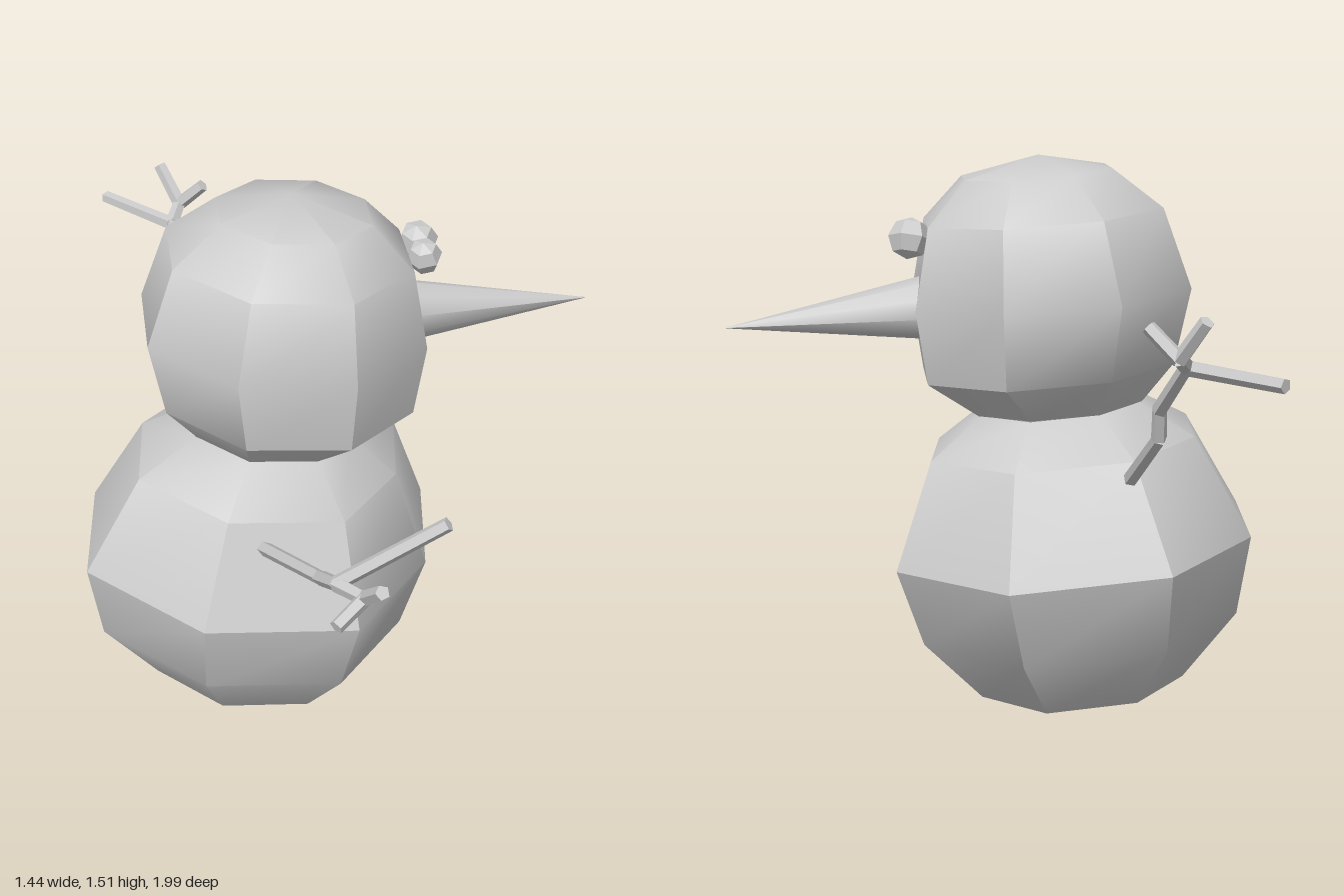
import * as THREE from 'three';
import { toCreasedNormals } from 'three/addons/utils/BufferGeometryUtils.js';

const V = (p) => new THREE.Vector3(...p);

// Eight-sided shell through slightly tilted rings [y, radius, cx, cz], open at the bottom
function ringShell(rings, outline, apex) {
  const n = outline.length, pos = [], index = [];
  for (const [y, r, cx, cz] of rings) {
    outline.forEach((m, k) => {
      const a = (15 + k * 360 / n) * Math.PI / 180;
      const x = Math.cos(a) * r * m, z = Math.sin(a) * r * m;
      pos.push(cx + x, y - 0.075 * x + 0.035 * z, cz + z);
    });
  }
  for (let i = 0; i < rings.length - 1; i++) {
    for (let k = 0; k < n; k++) {
      const a = i * n + k, b = i * n + (k + 1) % n;
      index.push(a, a + n, b, b, a + n, b + n);
    }
  }
  if (apex) {
    const base = (rings.length - 1) * n;
    pos.push(...apex);
    for (let k = 0; k < n; k++) index.push(base + k, base + n, base + (k + 1) % n);
  }
  const g = new THREE.BufferGeometry();
  g.setAttribute('position', new THREE.Float32BufferAttribute(pos, 3));
  g.setIndex(index);
  return toCreasedNormals(g, 0.6);
}

// Tapered round bar from one point to another
function bar(p, q, r0, r1, sides) {
  const a = V(p), b = V(q), d = b.clone().sub(a);
  const g = new THREE.CylinderGeometry(r1, r0, d.length(), sides);
  g.applyQuaternion(new THREE.Quaternion().setFromUnitVectors(new THREE.Vector3(0, 1, 0), d.normalize()));
  const c = a.add(b).multiplyScalar(0.5);
  return g.translate(c.x, c.y, c.z);
}

export function createModel() {
  const model = new THREE.Group();
  const snow = new THREE.MeshStandardMaterial({ color: 0xcccccc, side: THREE.DoubleSide });
  const faceted = new THREE.MeshStandardMaterial({ color: 0xcccccc, flatShading: true });
  const add = (name, geometry, material, parent = model) => {
    const mesh = new THREE.Mesh(geometry, material);
    mesh.name = name;
    parent.add(mesh);
    return mesh;
  };

  // Snowballs
  add('body', ringShell([
    [0.03, 0.32, -0.23, 0.0],
    [0.22, 0.49, -0.22, -0.01],
    [0.44, 0.55, -0.2, -0.02],
    [0.72, 0.41, -0.17, -0.01],
    [0.82, 0.245, -0.16, -0.01],
  ], [0.88, 1, 1, 1.01, 0.94, 1, 1.04, 0.98]), snow);
  add('head', ringShell([
    [0.82, 0.245, -0.16, -0.01],
    [0.925, 0.365, -0.13, -0.01],
    [1.13, 0.405, -0.135, -0.02],
    [1.35, 0.345, -0.115, -0.02],
    [1.462, 0.217, -0.1, -0.02],
  ], new Array(8).fill(1), [-0.105, 1.51, -0.03]), snow);

  // Long pointed nose
  add('nose', toCreasedNormals(bar([0.17, 1.103, -0.125], [0.72, 1.06, -0.28], 0.092, 0.001, 10), 0.8), snow);

  // Eyes
  [[0.25, 1.29, -0.095, 0.05], [0.235, 1.293, -0.178, 0.058]].forEach(([x, y, z, r], i) => {
    const eye = add(i ? 'rightEye' : 'leftEye', new THREE.SphereGeometry(r, 6, 4), faceted);
    eye.position.set(x, y, z);
    eye.rotation.set(0.3, 0.2, 0.1);
  });

  // Twig arms: each is a set of bent paths
  const arms = {
    frontArm: [
      [[-0.21, 0.645, 0.34], [-0.03, 0.79, 0.69], [0.01, 0.86, 0.81], [0.08, 0.875, 0.89], [0.12, 0.96, 0.98]],
      [[0.01, 0.86, 0.81], [0.28, 1.06, 0.84]],
      [[0.08, 0.875, 0.89], [0.01, 0.845, 0.965]],
    ],
    backArm: [
      [[-0.35, 0.65, -0.34], [-0.43, 0.83, -0.61], [-0.43, 0.91, -0.64], [-0.49, 1.04, -0.78], [-0.71, 1.03, -0.985]],
      [[-0.49, 1.04, -0.78], [-0.47, 1.07, -0.86], [-0.53, 1.17, -0.92]],
      [[-0.47, 1.07, -0.86], [-0.395, 1.145, -0.83]],
    ],
  };
  for (const [name, paths] of Object.entries(arms)) {
    const arm = new THREE.Group();
    arm.name = name;
    model.add(arm);
    for (const path of paths) {
      for (let i = 0; i < path.length - 1; i++) {
        // Run a little past each bend so the pieces join
        const end = V(path[i + 1]), dir = end.clone().sub(V(path[i])).normalize();
        if (i < path.length - 2) end.addScaledVector(dir, 0.008);
        add('twig', bar(path[i], end.toArray(), 0.021, 0.019, 5), faceted, arm);
      }
    }
  }
  return model;
}
